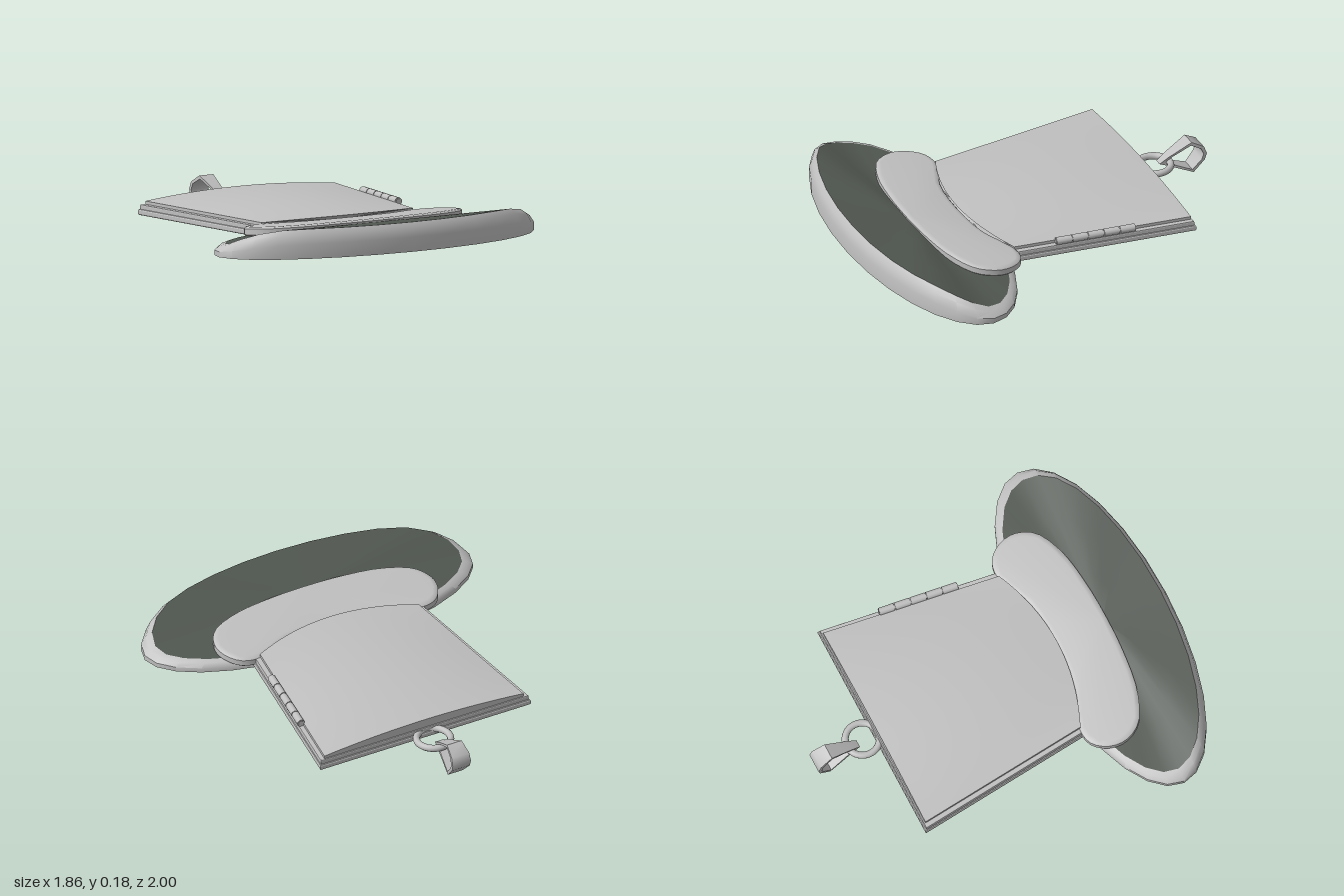
import * as THREE from 'three';
import { toCreasedNormals } from 'three/addons/utils/BufferGeometryUtils.js';

const silver = new THREE.MeshStandardMaterial({ color: 0xc0c0c0, name: 'silver' });
const darkFill = new THREE.MeshStandardMaterial({ color: 0x505650, name: 'dark enamel' });
darkFill.side = THREE.DoubleSide;

const lerp = THREE.MathUtils.lerp;
const smooth = THREE.MathUtils.smoothstep;

// Skins a list of closed rings of [x, y, z]; caps are optional fans
function loft(rings, capStart = true, capEnd = true, crease = 0.5) {
  const n = rings[0].length, pos = rings.flat(2), idx = [];
  for (let i = 0; i < rings.length - 1; i++) {
    for (let j = 0; j < n; j++) {
      const a = i * n + j, b = i * n + (j + 1) % n, c = a + n, d = b + n;
      idx.push(a, c, b, b, c, d);
    }
  }
  const cap = (r, flip) => {
    const centre = pos.length / 3;
    for (let k = 0; k < 3; k++) pos.push(rings[r].reduce((s, p) => s + p[k], 0) / n);
    for (let j = 0; j < n; j++) {
      const a = r * n + j, b = r * n + (j + 1) % n;
      idx.push(centre, flip ? b : a, flip ? a : b);
    }
  };
  if (capStart) cap(0, false);
  if (capEnd) cap(rings.length - 1, true);
  const g = new THREE.BufferGeometry();
  g.setAttribute('position', new THREE.Float32BufferAttribute(pos, 3));
  g.setIndex(idx);
  return toCreasedNormals(g, crease);
}

// Flat bevelled slab from an outline in x, z; its top lies at y = top
function slab(points, top, height, bevel, bevelHeight) {
  const shape = new THREE.Shape(points.map(([x, z]) => new THREE.Vector2(x, z)));
  const g = new THREE.ExtrudeGeometry(shape, {
    depth: height - 2 * bevelHeight, bevelEnabled: true, bevelSegments: 2,
    bevelSize: bevel, bevelOffset: -bevel, bevelThickness: bevelHeight,
  });
  g.rotateX(Math.PI / 2);
  g.translate(0, top - bevelHeight, 0);
  return g;
}

function add(group, name, geometry, material = silver) {
  const mesh = new THREE.Mesh(geometry, material);
  mesh.name = name;
  group.add(mesh);
  return mesh;
}

// Oval brim: raised towards the front, with a dark inlaid top
function buildBrim(group) {
  const N = 28;
  const ring = (rx, rz, yOf) => Array.from({ length: N }, (_, i) => {
    const a = (i / N) * Math.PI * 2;
    const x = rx * Math.cos(a), z = 0.63 + rz * Math.sin(a);
    return [x, yOf(z), z];
  });
  const wall = z => lerp(0.055, 0.105, smooth(z, 0.58, 0.95));
  const crest = z => lerp(0.085, 0.177, smooth(z, 0.56, 0.88));
  const inner = ring(0.87, 0.338, crest);
  add(group, 'brimRim', loft([
    ring(0.93, 0.37, () => 0.03),
    ring(0.93, 0.37, wall),
    ring(0.905, 0.358, z => lerp(wall(z), crest(z), 0.65)),
    inner,
  ], true, false, 0.7));
  const toCentre = k => inner.map(([x, y, z]) =>
    [x * k, lerp(0.135, y, k), lerp(0.64, z, k)]);
  add(group, 'brimInlay', loft([inner, toCentre(0.7), toCentre(0.35), toCentre(0.02)],
    false, true, 0.7), darkFill);
}

// Kidney-shaped band, tilted up towards the front
function buildBand(group) {
  const half = [[0.25, 0.357], [0.37, 0.308], [0.47, 0.276], [0.555, 0.296], [0.612, 0.37],
    [0.622, 0.46], [0.57, 0.555], [0.42, 0.625], [0.22, 0.656]];
  const pts = [[0, 0.38], ...half, [0, 0.665], ...half.map(([x, z]) => [-x, z]).reverse()];
  const curve = new THREE.CatmullRomCurve3(
    pts.map(([x, z]) => new THREE.Vector3(x, z, 0)), true);
  const outline = curve.getPoints(56).slice(0, -1).map(p => [p.x, p.y]);
  const g = slab(outline, 0, 0.05, 0.025, 0.01);
  const p = g.attributes.position;
  for (let i = 0; i < p.count; i++) {
    p.setY(i, p.getY(i) + lerp(0.118, 0.157, (p.getZ(i) - 0.28) / 0.38));
  }
  add(group, 'hatBand', toCreasedNormals(g, 0.7));
}

// Flat back tray and the domed lid over it
function buildCrown(group) {
  const tray = inset => [
    [-0.59 + inset, -0.66 + inset], [0.617 - inset, -0.66 + inset],
    [0.48 - inset, 0.36], [-0.48 + inset, 0.36],
  ];
  add(group, 'crownBack', slab(tray(0), 0.085, 0.032, 0.01, 0.008));
  add(group, 'crownTray', slab(tray(0.008), 0.108, 0.03, 0.006, 0.006));

  const rings = [], U = 16, V = 14;
  for (let j = 0; j <= V; j++) {
    const v = j / V;
    const halfWidth = lerp(0.57, 0.455, v), shift = lerp(0.015, 0, v);
    const peak = lerp(0.155, 0.14, v) + 0.075 * v * (1 - v);
    const top = [], bottom = [];
    for (let i = 0; i <= U; i++) {
      const u = (i / U) * 2 - 1, bulge = 1 - u * u;
      const x = shift + halfWidth * u;
      const z = lerp(-0.645, 0.285 + 0.1 * bulge, v);
      top.push([x, lerp(0.124, peak, bulge), z]);
      bottom.unshift([x, 0.1, z]);
    }
    rings.push([...top, ...bottom]);
  }
  add(group, 'crownLid', loft(rings));
}

// Five hinge knuckles along the left edge
function buildHinge(group) {
  const start = new THREE.Vector3(0.557, 0.127, -0.345);
  const end = new THREE.Vector3(0.503, 0.127, 0.075);
  const dir = end.clone().sub(start), count = 5;
  for (let i = 0; i < count; i++) {
    const g = new THREE.CylinderGeometry(0.02, 0.02, dir.length() / count - 0.005, 14);
    const knuckle = add(group, 'hingeKnuckle', g);
    knuckle.position.copy(start).addScaledVector(dir, (i + 0.5) / count);
    knuckle.quaternion.setFromUnitVectors(new THREE.Vector3(0, 1, 0), dir.clone().normalize());
  }
  const pin = add(group, 'hingePin', new THREE.CylinderGeometry(0.014, 0.014, dir.length(), 12));
  pin.position.copy(start).addScaledVector(dir, 0.5);
  pin.quaternion.setFromUnitVectors(new THREE.Vector3(0, 1, 0), dir.clone().normalize());
}

// Jump ring and the tapered folded strap it hangs from
function buildHanger(group) {
  const g = new THREE.TorusGeometry(0.087, 0.018, 12, 36);
  g.rotateX(Math.PI / 2);
  add(group, 'jumpRing', g).position.set(0, 0.083, -0.72);

  const path = [[-0.75, 0.083], [-0.8, 0.115], [-0.92, 0.178], [-0.985, 0.14], [-1, 0.1],
    [-0.99, 0.065], [-0.93, 0], [-0.8, 0.062]];
  const rings = path.map(([z, y], i) => {
    const half = lerp(0.02, 0.052, (-0.75 - z) / 0.25);
    const toMiddle = new THREE.Vector2(-0.9 - z, 0.09 - y).setLength(i === 0 ? 0.035 : 0.018);
    const zi = z + toMiddle.x, yi = y + toMiddle.y, c = -0.012;
    return [[c + half, y, z], [c - half, y, z], [c - half, yi, zi], [c + half, yi, zi]];
  });
  add(group, 'hangingLoop', loft([...rings, rings[0]], false, false, 0.75));
}

export function createModel() {
  const group = new THREE.Group();
  group.name = 'hatLocket';
  buildBrim(group);
  buildBand(group);
  buildCrown(group);
  buildHinge(group);
  buildHanger(group);
  return group;
}
